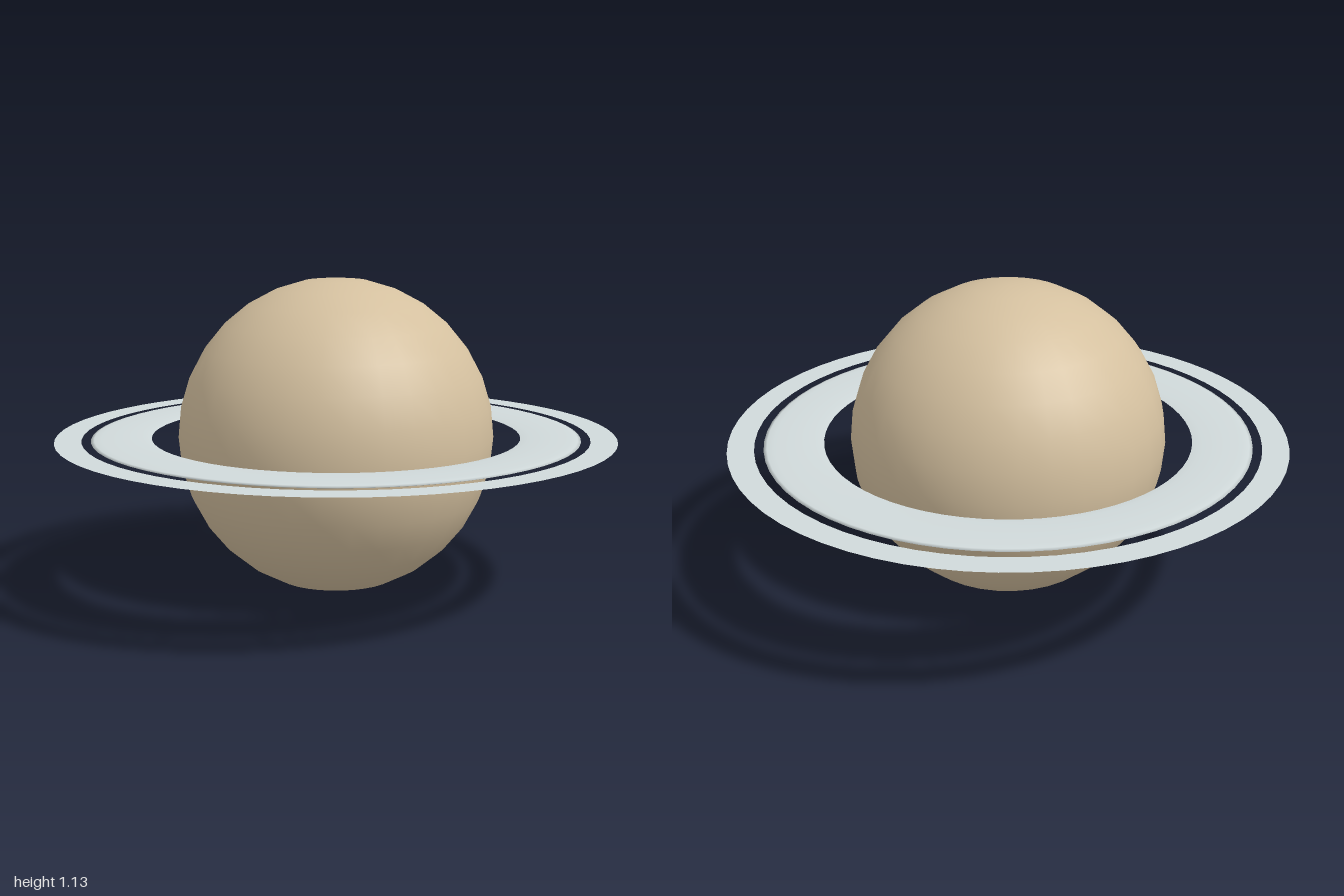
import * as THREE from 'three';

const CENTRE_Y = 0.566;

export function createModel() {
  const model = new THREE.Group();
  model.name = 'ringedPlanet';

  const sand = new THREE.MeshStandardMaterial({ color: 0xd4c09f });
  sand.name = 'sand';
  const ice = new THREE.MeshStandardMaterial({ color: 0xd0d9da, side: THREE.DoubleSide });
  ice.name = 'paleIce';

  const add = (name, geometry, material) => {
    const mesh = new THREE.Mesh(geometry, material);
    mesh.name = name;
    mesh.position.y = CENTRE_Y;
    model.add(mesh);
  };

  // Planet globe
  add('globe', new THREE.SphereGeometry(0.564, 32, 16), sand);

  // Broad inner ring: thin lens section, mirrored below and above the ring plane
  const half = [[0.659, 0], [0.69, 0.005], [0.765, 0.007], [0.835, 0.006], [0.86, 0.004], [0.872, 0]];
  const section = [
    ...half.map(([r, h]) => new THREE.Vector2(r, -h)),
    ...half.slice(0, -1).reverse().map(([r, h]) => new THREE.Vector2(r, h)),
  ];
  add('innerRing', new THREE.LatheGeometry(section, 64), ice);

  // Narrow outer ring: flat band
  add('outerRing', new THREE.RingGeometry(0.905, 1, 64).rotateX(-Math.PI / 2), ice);

  return model;
}
